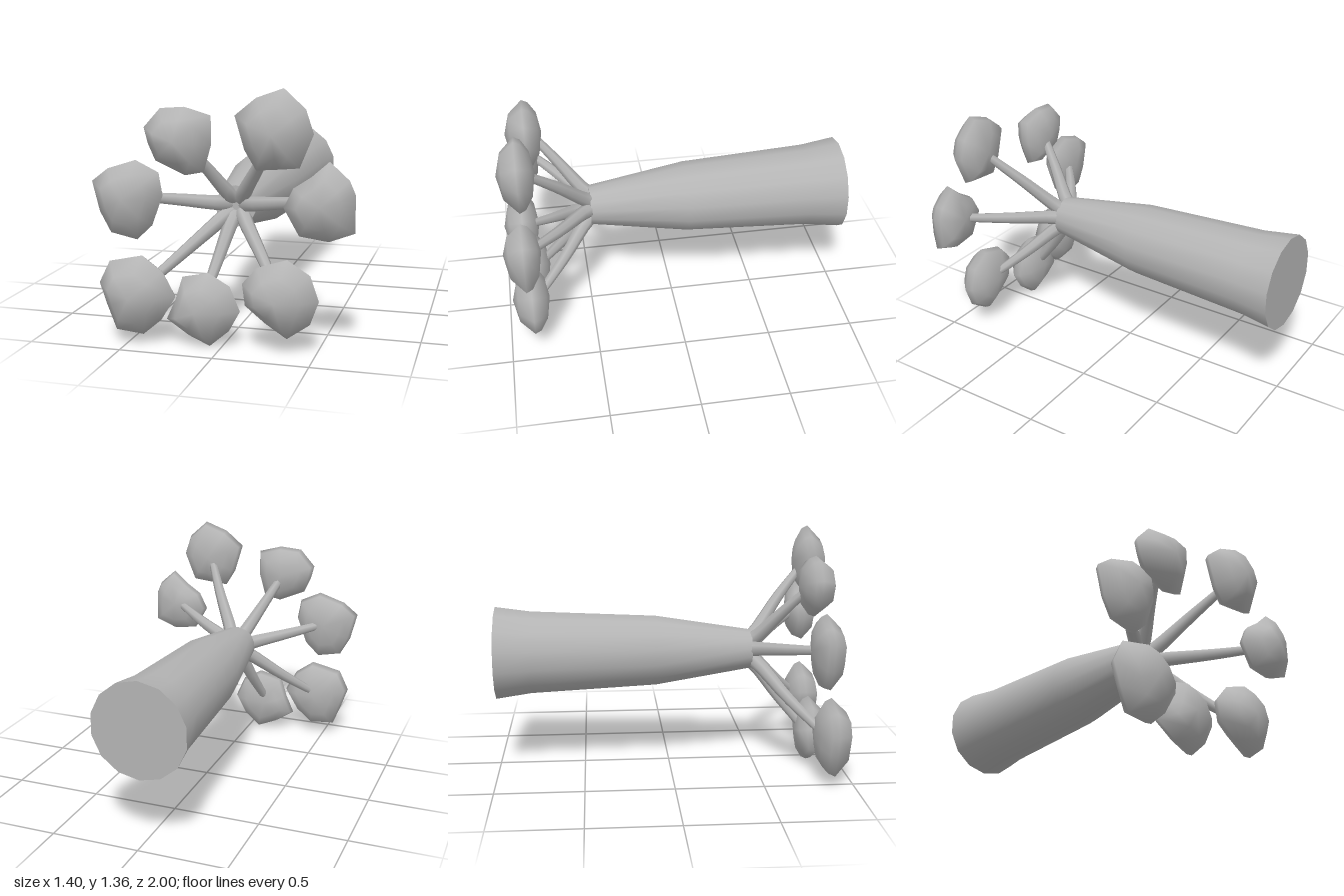
import * as THREE from 'three';

const CX = -0.02, CY = 0.68; // trunk axis, running along z

// Closed faceted crown: a 9-point outline scaled around its apex through several depths
function crownGeometry([ax, ay], z0, z1, outline) {
  const rings = [[0.6, 0.1], [0.92, 0.3], [1, 0.47], [0.62, 0.85]];
  const n = outline.length / 2;
  const pos = [ax, ay, z0], index = [];
  for (const [s, t] of rings)
    for (let i = 0; i < n; i++)
      pos.push(ax + (outline[2 * i] - ax) * s, ay + (outline[2 * i + 1] - ay) * s, z0 + (z1 - z0) * t);
  pos.push(ax, ay, z1);
  const last = pos.length / 3 - 1;
  // outlines run clockwise seen from the front
  for (let i = 0; i < n; i++) {
    const j = (i + 1) % n;
    index.push(0, 1 + i, 1 + j);
    for (let r = 0; r < rings.length - 1; r++) {
      const a = 1 + r * n + i, b = 1 + r * n + j;
      index.push(a, a + n, b, b, a + n, b + n);
    }
    const top = 1 + (rings.length - 1) * n;
    index.push(top + i, last, top + j);
  }
  const g = new THREE.BufferGeometry();
  g.setAttribute('position', new THREE.Float32BufferAttribute(pos, 3));
  g.setIndex(index);
  g.computeVertexNormals();
  return g;
}

// Bowed branch whose thickness tapers toward the crown
function branchGeometry([ax, ay], zEnd) {
  const dx = ax - CX, dy = ay - CY, len = Math.hypot(dx, dy);
  const at = (r, z) => new THREE.Vector3(CX + dx / len * r, CY + dy / len * r, z);
  const curve = new THREE.CatmullRomCurve3([
    at(0.03, 0.42), at(0.075, 0.49), at(len * 0.58, 0.49 + (zEnd - 0.49) * 0.52), at(len * 0.95, zEnd),
  ]);
  const steps = 8, sides = 7;
  const g = new THREE.TubeGeometry(curve, steps, 1, sides);
  const p = g.attributes.position, nrm = g.attributes.normal;
  for (let k = 0; k < p.count; k++) {
    const t = Math.floor(k / (sides + 1)) / steps;
    const c = curve.getPointAt(t), r = 0.046 - 0.022 * t;
    p.setXYZ(k, c.x + nrm.getX(k) * r, c.y + nrm.getY(k) * r, c.z + nrm.getZ(k) * r);
  }
  return g;
}

export function createModel() {
  const model = new THREE.Group();
  const grey = new THREE.MeshStandardMaterial({ color: 0xb4b4b4 });
  grey.name = 'grey';
  const add = (name, geometry) => {
    const mesh = new THREE.Mesh(geometry, grey);
    mesh.name = name;
    model.add(mesh);
    return mesh;
  };

  // Trunk, lying along z with its flared foot at the back
  const profile = [[0.27, -1], [0.241, -0.8], [0.205, -0.08], [0.115, 0.48]];
  const trunk = add('trunk', new THREE.LatheGeometry(profile.map(([r, z]) => new THREE.Vector2(r, z)), 14));
  trunk.rotation.x = Math.PI / 2;
  trunk.position.set(CX, CY, 0);
  const foot = add('trunkFoot', new THREE.CircleGeometry(0.27, 14, Math.PI / 2));
  foot.rotation.y = Math.PI;
  foot.position.set(CX, CY, -1);
  add('trunkEnd', new THREE.CircleGeometry(0.115, 14, Math.PI / 2)).position.set(CX, CY, 0.48);

  // Each branch with its crown: apex, back and front depth, outline
  const limb = (name, apex, z0, z1, outline) => {
    add(name + 'Branch', branchGeometry(apex, z0 + 0.05));
    add(name + 'Crown', crownGeometry(apex, z0, z1, outline));
  };
  limb('upperRight', [-0.22, 1.08], 0.72, 0.93,
    [-0.41, 1.14, -0.32, 1.24, -0.19, 1.25, -0.05, 1.21, -0.05, 1.06, -0.09, 0.92, -0.19, 0.9, -0.35, 0.97, -0.39, 1.06]);
  limb('upperLeft', [0.3, 1.14], 0.78, 0.985,
    [0.09, 1.22, 0.2, 1.31, 0.34, 1.36, 0.45, 1.26, 0.49, 1.14, 0.42, 0.97, 0.32, 0.96, 0.2, 0.95, 0.14, 1.05]);
  limb('left', [0.54, 0.8], 0.785, 0.985,
    [0.34, 0.77, 0.39, 0.87, 0.48, 0.93, 0.57, 1.01, 0.67, 0.92, 0.7, 0.85, 0.7, 0.66, 0.57, 0.61, 0.42, 0.63]);
  limb('right', [-0.5, 0.775], 0.74, 0.93,
    [-0.7, 0.85, -0.61, 0.92, -0.455, 0.97, -0.33, 0.91, -0.31, 0.79, -0.37, 0.63, -0.455, 0.55, -0.6, 0.58, -0.66, 0.69]);
  limb('lowerRight', [-0.45, 0.27], 0.78, 1,
    [-0.65, 0.32, -0.59, 0.44, -0.41, 0.48, -0.3, 0.4, -0.23, 0.27, -0.31, 0.14, -0.41, 0.055, -0.56, 0.07, -0.61, 0.2]);
  limb('lowerMiddle', [-0.12, 0.2], 0.735, 0.93,
    [-0.3, 0.13, -0.25, 0.24, -0.21, 0.365, -0.07, 0.395, 0.045, 0.33, 0.1, 0.2, 0.04, 0.09, -0.065, 0, -0.18, 0.05]);
  limb('lowerLeft', [0.31, 0.295], 0.76, 0.97,
    [0.12, 0.36, 0.2, 0.45, 0.355, 0.5, 0.475, 0.425, 0.52, 0.295, 0.475, 0.17, 0.355, 0.085, 0.24, 0.16, 0.135, 0.245]);

  return model;
}
